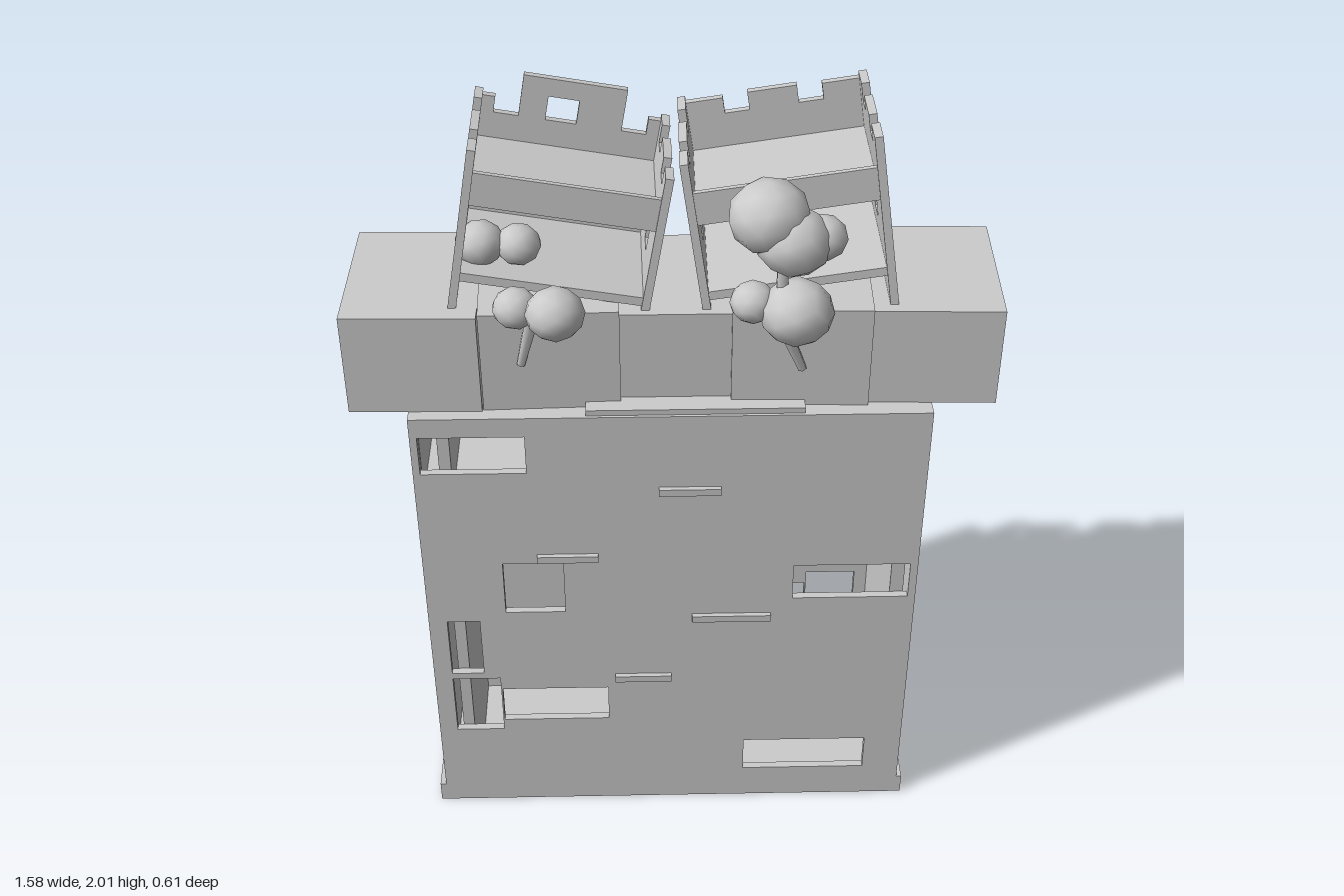
import * as THREE from 'three';

const stone = new THREE.MeshStandardMaterial({ color: 0xcccccc });
stone.name = 'pale stone';

function add(parent, name, geo, x = 0, y = 0, z = 0) {
  const m = new THREE.Mesh(geo, stone);
  m.name = name;
  m.position.set(x, y, z);
  parent.add(m);
  return m;
}

// box given by its limits
function box(parent, name, x0, x1, y0, y1, z0, z1) {
  return add(parent, name, new THREE.BoxGeometry(x1 - x0, y1 - y0, z1 - z0),
    (x0 + x1) / 2, (y0 + y1) / 2, (z0 + z1) / 2);
}

// flat wall from an outline, with rectangular openings [x0, x1, y0, y1]
function wallGeometry(outline, holes, depth) {
  const shape = new THREE.Shape(outline.map(([x, y]) => new THREE.Vector2(x, y)));
  for (const [x0, x1, y0, y1] of holes) {
    shape.holes.push(new THREE.Path([[x0, y0], [x0, y1], [x1, y1], [x1, y0]]
      .map(([x, y]) => new THREE.Vector2(x, y))));
  }
  return new THREE.ExtrudeGeometry(shape, { depth, bevelEnabled: false });
}

// outline of a wall with a battlement of three merlons, the middle one taller if wanted
function battlement(w, h, notch, mid, midHalf) {
  const a = w / 2, n = midHalf, g = 0.06;
  return [[-a, 0], [a, 0], [a, h], [n + g, h], [n + g, h - notch], [n, h - notch], [n, mid],
    [-n, mid], [-n, h - notch], [-n - g, h - notch], [-n - g, h], [-a, h]];
}

// open-fronted tower standing on its own origin
function tower(parent, name, { w, d, h, backTop, backHalf, backHoles }) {
  const g = new THREE.Group(), t = 0.02;
  g.name = name;
  parent.add(g);
  const windows = [[-0.035, 0.035, 0.3, 0.38], [-0.035, 0.035, 0.11, 0.19]];
  add(g, 'towerBackWall', wallGeometry(battlement(w, h - 0.01, 0.04, backTop, backHalf),
    [...windows, ...backHoles], t), 0, 0, -d / 2);
  for (const s of [-1, 1]) {
    const side = add(g, 'towerSideWall',
      wallGeometry(battlement(d, h, 0.045, h - 0.005, 0.055), windows, t),
      s > 0 ? w / 2 - t : -w / 2, 0, 0);
    side.rotation.y = Math.PI / 2;
  }
  for (const y of [0.01, 0.226, 0.423]) {
    box(g, 'towerFloor', -w / 2 + t, w / 2 - t, y, y + 0.022, -d / 2 + t, d / 2 - 0.005);
  }
  box(g, 'towerFrontParapet', -w / 2 + t, w / 2 - t, 0.44, 0.505, d / 2 - 0.018, d / 2 - 0.004);
  return g;
}

// trunk along a short line, with round clumps [x, y, z, radius]
function tree(parent, name, from, to, clumps) {
  const g = new THREE.Group();
  g.name = name;
  parent.add(g);
  const a = new THREE.Vector3(...from), b = new THREE.Vector3(...to);
  const dir = b.clone().sub(a);
  const trunk = add(g, 'trunk', new THREE.CylinderGeometry(0.018, 0.011, dir.length(), 6));
  trunk.position.copy(a).add(b).multiplyScalar(0.5);
  trunk.quaternion.setFromUnitVectors(new THREE.Vector3(0, 1, 0), dir.normalize());
  for (const [x, y, z, r] of clumps) {
    const clump = add(g, 'foliage', new THREE.IcosahedronGeometry(r, 1), x, y, z);
    clump.scale.y = 0.9;
    clump.rotation.y = x * 9;
  }
}

export function createModel() {
  const model = new THREE.Group();
  model.name = 'towerBlock';

  // hollow main block
  const L = -0.648, R = 0.62, top = 1.32, F = 0.183, B = -0.26, t = 0.02;
  const face = [[L, 0], [R, 0], [R, top], [L, top]];
  add(model, 'frontWall', wallGeometry(face, [
    [-0.63, -0.37, 1.155, 1.265], [-0.445, -0.29, 0.7, 0.865], [0.3, 0.6, 0.735, 0.845],
    [-0.6, -0.515, 0.485, 0.67], [-0.6, -0.473, 0.275, 0.465], [-0.469, -0.185, 0.31, 0.425],
    [0.185, 0.52, 0.105, 0.215]], t), 0, 0, F - t);
  add(model, 'backWall', wallGeometry(face, [
    [0.15, 0.58, 1.17, 1.28], [0.22, 0.49, 0.735, 0.85], [0.382, 0.52, 0.28, 0.46],
    [0.06, 0.378, 0.3, 0.42], [-0.09, 0.04, 0.067, 0.247], [-0.59, -0.265, 0.1, 0.21]], t), 0, 0, B);
  box(model, 'sideWall', L, L + t, 0, top, B + t, F - t);
  box(model, 'sideWall', R - t, R, 0, top, B + t, F - t);
  box(model, 'innerWall', -0.585, -0.555, 0.03, top - t, B + t, F - t);
  box(model, 'innerWall', 0.555, 0.59, 0.03, top - t, B + t, F - t);
  box(model, 'ground', L + t, R - t, 0, 0.03, B + t, F - t);
  box(model, 'upperFloor', L + t, R - t, 1.06, 1.08, B + t, F - t);
  box(model, 'ceiling', L + t, R - t, top - t, top, B + t, F - t);
  box(model, 'plinthEnd', -0.664, L, 0, 0.06, B, F);
  box(model, 'plinthEnd', R, 0.634, 0, 0.06, B, F);
  box(model, 'topSlab', -0.22, 0.31, top, 1.335, -0.22, 0.175);

  // thin ledges on both faces: [x0, x1, y]
  for (const [x0, x1, y] of [[-0.045, 0.11, 1.086], [-0.355, -0.2, 0.875], [0.04, 0.245, 0.666], [-0.165, -0.015, 0.455]]) {
    box(model, 'frontLedge', x0, x1, y, y + 0.02, F, F + 0.013);
  }
  for (const [x0, x1, y] of [[0.1, 0.34, 1.09], [0.08, 0.25, 0.875], [0.21, 0.34, 0.666], [0.01, 0.21, 0.455]]) {
    box(model, 'backLedge', x0, x1, y, y + 0.02, B - 0.013, B);
  }

  // row of slightly skewed blocks on top: [x0, x1, y1, z0, z1, turn]
  for (const [x0, x1, y1, z0, z1, turn] of [
    [-0.787, -0.465, 1.585, -0.252, 0.148, -0.02], [-0.472, -0.14, 1.588, -0.245, 0.14, 0.03],
    [-0.145, 0.14, 1.57, -0.25, 0.12, 0], [0.137, 0.47, 1.588, -0.245, 0.14, -0.03],
    [0.465, 0.782, 1.58, -0.262, 0.138, -0.035]]) {
    box(model, 'topBlock', x0, x1, top, y1, z0, z1).rotation.y = turn;
  }

  // two leaning towers
  const left = tower(model, 'rightTower', { w: 0.47, d: 0.36, h: 0.56, backTop: 0.615, backHalf: 0.125,
    backHoles: [[-0.06, 0.015, 0.51, 0.57]] });
  left.position.set(-0.334, 1.385, -0.068);
  left.rotation.set(-0.05, 0.01, -0.174);
  const right = tower(model, 'leftTower', { w: 0.46, d: 0.385, h: 0.58, backTop: 0.575, backHalf: 0.06,
    backHoles: [] });
  right.position.set(0.322, 1.39, -0.082);
  right.rotation.set(-0.05, -0.01, 0.148);

  // trees growing out of the blocks
  tree(model, 'largeTree', [0.3, 1.43, 0.145], [0.235, 1.6, 0.175], [
    [0.205, 1.87, 0.19, 0.095], [0.26, 1.82, 0.215, 0.088], [0.325, 1.82, 0.2, 0.058],
    [0.275, 1.625, 0.2, 0.088], [0.175, 1.64, 0.18, 0.055]]);
  add(model, 'upperTrunk', new THREE.CylinderGeometry(0.014, 0.016, 0.2, 6), 0.24, 1.7, 0.19);
  tree(model, 'smallTree', [-0.37, 1.45, 0.14], [-0.335, 1.6, 0.165], [
    [-0.28, 1.64, 0.22, 0.07], [-0.375, 1.61, 0.145, 0.055],
    [-0.46, 1.7, 0.0, 0.06], [-0.37, 1.695, 0.0, 0.055]]);

  return model;
}
